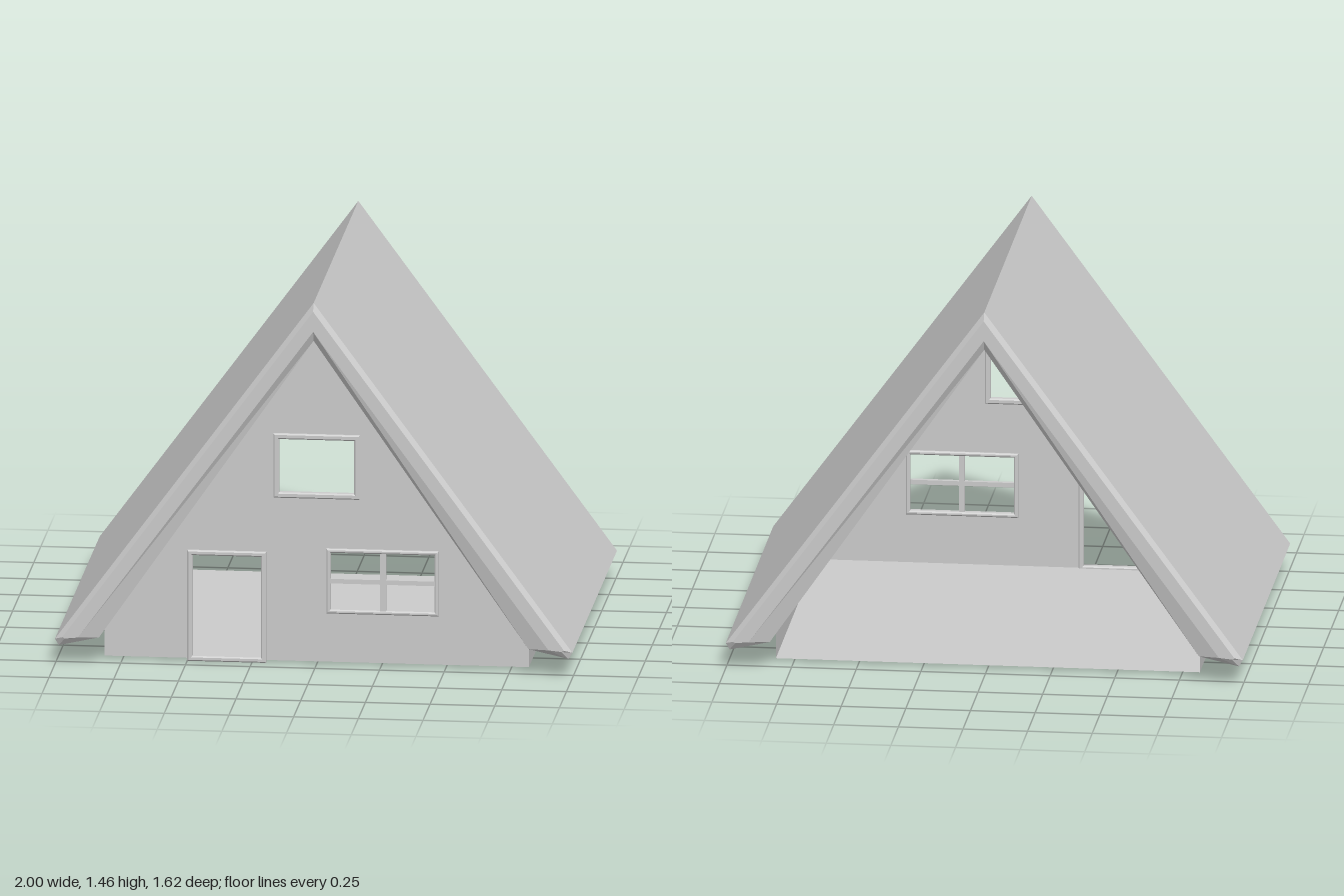
import * as THREE from 'three';

const grey = new THREE.MeshStandardMaterial({ color: 0xcccccc, flatShading: true, side: THREE.DoubleSide });

function add(parent, name, geometry, x = 0, y = 0, z = 0) {
  const mesh = new THREE.Mesh(geometry, grey);
  mesh.name = name;
  mesh.position.set(x, y, z);
  parent.add(mesh);
  return mesh;
}

// Mirrored roof outline: outer ridge, right eave, inner ridge, left eave
function roofRing(outerTop, eave, innerTop, z) {
  const left = eave.map(([x, y]) => [-x, y]).reverse();
  return [[0, outerTop], ...eave, [0, innerTop], ...left].map(([x, y]) => [x, y, z]);
}

function roofGeometry() {
  const tip = [[0.97, 0.112], [0.96, 0.107], [0.91, 0.112]];
  const full = [[1, 0.1], [0.985, 0.075], [0.83, 0.11]];
  const rings = [
    roofRing(1.43, tip, 1.35, 0.81),
    roofRing(1.46, full, 1.31, 0.79),
    roofRing(1.46, full, 1.31, -0.79),
    roofRing(1.43, tip, 1.35, -0.81),
  ];
  const points = [];
  const tri = (a, b, c) => points.push(...a, ...b, ...c);
  for (let k = 0; k < 3; k++) {
    const a = rings[k], b = rings[k + 1];
    for (let i = 0; i < 8; i++) {
      const j = (i + 1) % 8;
      tri(a[i], a[j], b[i]);
      tri(a[j], b[j], b[i]);
    }
  }
  const cap = [[0, 4, 1], [1, 4, 3], [1, 3, 2], [0, 7, 4], [7, 5, 4], [7, 6, 5]];
  const front = rings[0], back = rings[3];
  for (const [a, b, c] of cap) {
    tri(front[a], front[b], front[c]);
    tri(back[a], back[c], back[b]);
  }
  const geometry = new THREE.BufferGeometry();
  geometry.setAttribute('position', new THREE.Float32BufferAttribute(points, 3));
  geometry.computeVertexNormals();
  return geometry;
}

function rectangle(x0, x1, y0, y1, Type = THREE.Shape) {
  return new Type([[x0, y0], [x1, y0], [x1, y1], [x0, y1]].map(p => new THREE.Vector2(...p)));
}

// Rectangular trim with a chamfered front edge
function frameGeometry({ x0, x1, y0, y1, t }) {
  const b = 0.005;
  const shape = rectangle(x0, x1, y0, y1);
  shape.holes.push(rectangle(x0 + t, x1 - t, y0 + t, y1 - t, THREE.Path));
  return new THREE.ExtrudeGeometry(shape, {
    depth: 0.02, bevelEnabled: true, bevelSize: b, bevelThickness: b, bevelOffset: -b, bevelSegments: 1,
  });
}

export function createModel() {
  const house = new THREE.Group();
  house.name = 'aFrameHouse';

  add(house, 'roof', roofGeometry());

  const openings = [
    { name: 'doorFrame', x0: -0.5, x1: -0.195, y0: 0, y1: 0.44, t: 0.02 },
    { name: 'upperWindowFrame', x0: -0.167, x1: 0.167, y0: 0.657, y1: 0.912, t: 0.022 },
    { name: 'lowerWindowFrame', x0: 0.038, x1: 0.472, y0: 0.203, y1: 0.46, t: 0.016 },
  ];

  // Front gable with the door and window openings cut out
  const gable = new THREE.Shape([
    [-0.82, 0.01], [0.82, 0.01], [0.82, 0.115], [0, 1.305], [-0.82, 0.115],
  ].map(p => new THREE.Vector2(...p)));
  for (const o of openings) {
    const inset = o.t * 0.8;
    gable.holes.push(rectangle(o.x0 + inset, o.x1 - inset, o.y0 + inset, o.y1 - inset, THREE.Path));
    add(house, o.name, frameGeometry(o), 0, 0, 0.667);
  }
  add(house, 'frontWall', new THREE.ExtrudeGeometry(gable, { depth: 0.008, bevelEnabled: false }), 0, 0, 0.672);

  // Lower window glazing bars
  add(house, 'windowBarVertical', new THREE.BoxGeometry(0.022, 0.235, 0.018), 0.257, 0.332, 0.68);
  add(house, 'windowBarHorizontal', new THREE.BoxGeometry(0.41, 0.018, 0.018), 0.255, 0.332, 0.68);

  // Floor and low side walls; the rear stays open
  const floor = new THREE.PlaneGeometry(1.64, 1.35).rotateX(-Math.PI / 2);
  add(house, 'floor', floor, 0, 0.01, 0.005);
  for (const side of [-1, 1]) {
    const wall = new THREE.PlaneGeometry(1.35, 0.105).rotateY(side * Math.PI / 2);
    add(house, side > 0 ? 'leftWall' : 'rightWall', wall, side * 0.82, 0.0625, 0.005);
  }
  return house;
}
